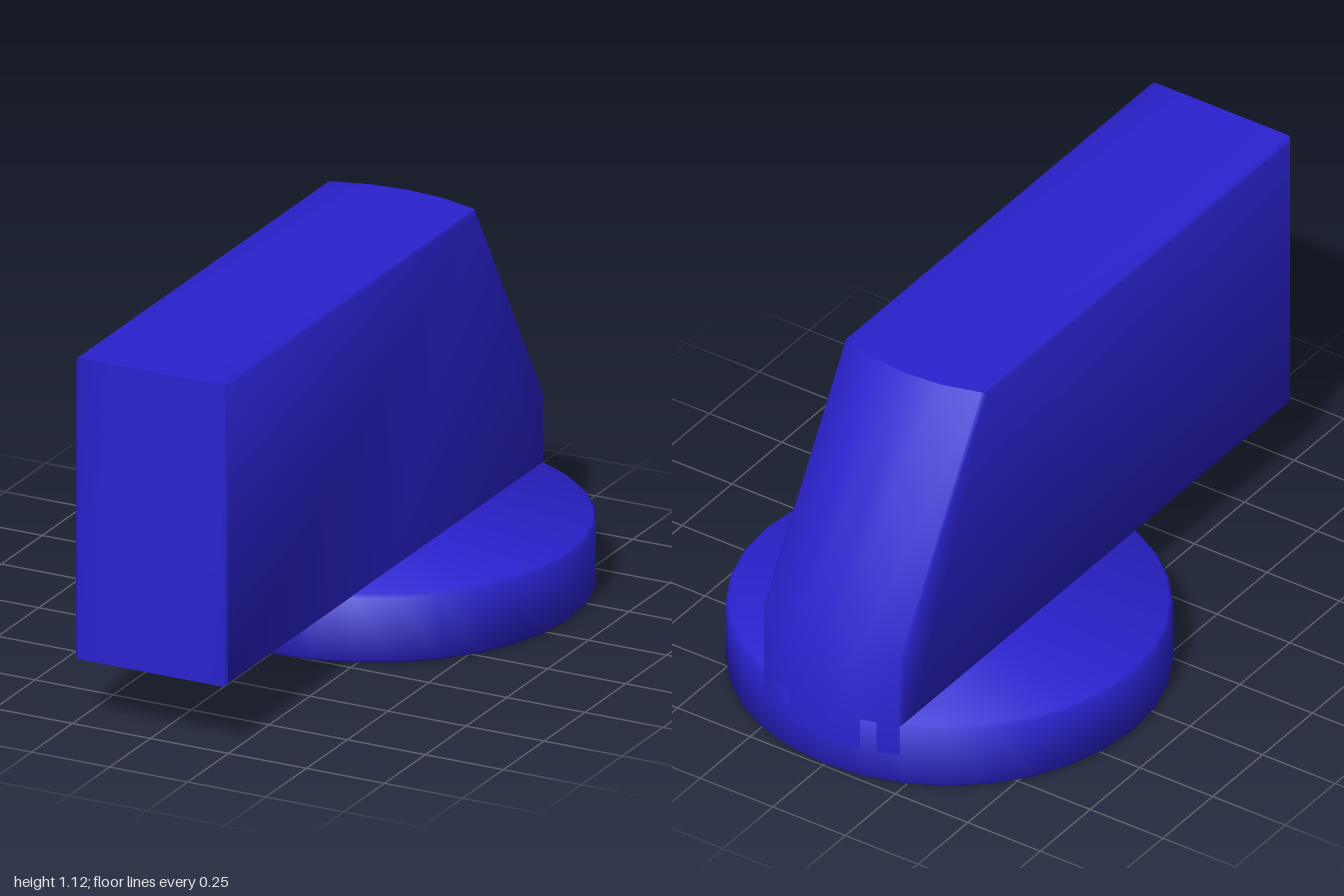
import * as THREE from 'three';
import { toCreasedNormals } from 'three/addons/utils/BufferGeometryUtils.js';

const RADIUS = 0.635, CENTRE_Z = -0.365, HALF_WIDTH = 0.243, BEVEL = 0.01;

export function createModel() {
  const group = new THREE.Group();
  const material = new THREE.MeshStandardMaterial({ color: 0x2b22d0 });

  const add = (name, geometry) => {
    const mesh = new THREE.Mesh(toCreasedNormals(geometry, 1), material);
    mesh.name = name;
    group.add(mesh);
  };

  // Round base with a slightly chamfered rim
  const rim = [
    [0, 0], [RADIUS - BEVEL, 0], [RADIUS, BEVEL],
    [RADIUS, 0.2], [RADIUS - BEVEL, 0.21], [0, 0.21],
  ].map(([r, y]) => new THREE.Vector2(r, y));
  add('roundBase', new THREE.LatheGeometry(rim, 32).translate(0, 0, CENTRE_Z));

  // Lever grip: side profile (-z, y), with a foot sunk into the base
  const profile = new THREE.Shape([
    [-1, 0.2], [0, 0.2], [0, 0.1], [1, 0.1], [1, 0.42], [0.585, 1.12], [-1, 1.12],
  ].map(([u, y]) => new THREE.Vector2(u, y)));
  const depth = 2 * (HALF_WIDTH - BEVEL);
  const grip = new THREE.ExtrudeGeometry(profile, {
    depth, steps: 4, bevelSize: BEVEL, bevelThickness: BEVEL,
    bevelOffset: -BEVEL, bevelSegments: 1,
  });
  grip.translate(0, 0, -depth / 2).rotateY(Math.PI / 2);

  // Curve the back of the grip to follow the rim of the base
  const pos = grip.attributes.position;
  for (let i = 0; i < pos.count; i++) {
    const x = pos.getX(i), z = pos.getZ(i);
    if (z < -0.4) pos.setZ(i, z + RADIUS - Math.sqrt(RADIUS * RADIUS - x * x));
  }
  add('leverGrip', grip);

  return group;
}
